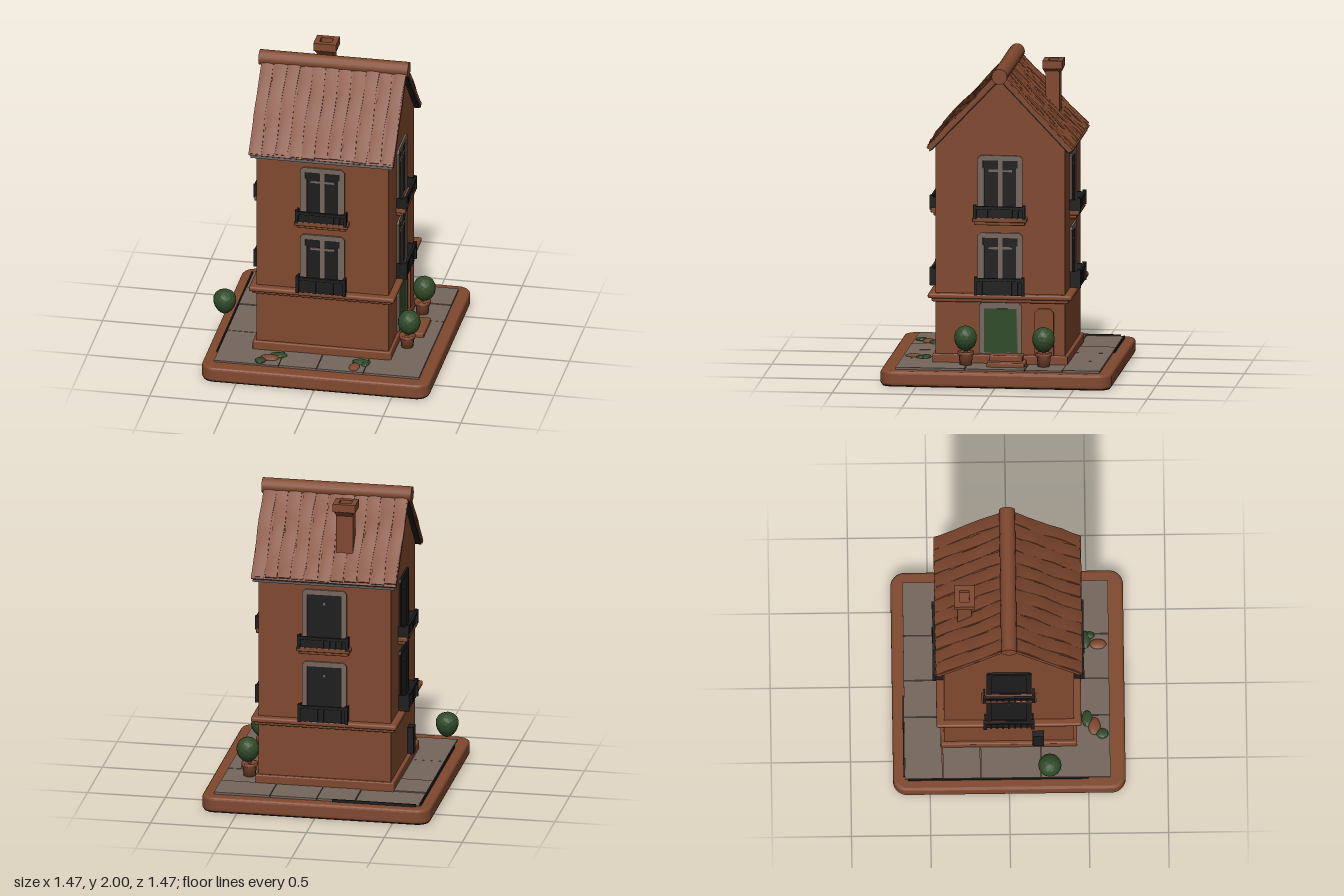
import * as THREE from 'three';
import { RoundedBoxGeometry } from 'three/addons/geometries/RoundedBoxGeometry.js';

const mat = (name, color, extra = {}) => {
  const m = new THREE.MeshStandardMaterial({ color, ...extra });
  m.name = name;
  return m;
};

export function createModel() {
  const root = new THREE.Group();
  root.name = 'townhouse';
  const brown = mat('terracotta', 0x80482e);
  const stone = mat('greyStone', 0x74665c);
  const dark = mat('darkIron', 0x1d1d1d, { side: THREE.DoubleSide });
  const green = mat('doorGreen', 0x2d4a26);
  const leaf = mat('leafGreen', 0x2f4a28, { flatShading: true });

  let seed = 7;
  const rnd = () => (seed = (seed * 16807) % 2147483647) / 2147483647;
  const add = (parent, name, geo, material, x = 0, y = 0, z = 0) => {
    const m = new THREE.Mesh(geo, material);
    m.name = name;
    m.position.set(x, y, z);
    parent.add(m);
    return m;
  };
  // box given by its limits on each axis
  const slab = (parent, name, material, x0, x1, y0, y1, z0, z1, r = 0) => add(parent, name,
    r ? new RoundedBoxGeometry(x1 - x0, y1 - y0, z1 - z0, 2, r) : new THREE.BoxGeometry(x1 - x0, y1 - y0, z1 - z0),
    material, (x0 + x1) / 2, (y0 + y1) / 2, (z0 + z1) / 2);
  const poly = pts => new THREE.Shape(pts.map(p => new THREE.Vector2(p[0], p[1])));
  // profile in (z, y), symmetric in z, extruded along x
  const alongX = (name, material, pts, x0, x1) => add(root, name,
    new THREE.ExtrudeGeometry(poly(pts), { depth: x1 - x0, bevelEnabled: false }).rotateY(Math.PI / 2), material, x0);

  // ---- base and paving
  const roundRect = (w, r) => {
    const s = new THREE.Shape();
    [[1, 1, 0], [-1, 1, 1], [-1, -1, 2], [1, -1, 3]].forEach(([sx, sy, q]) =>
      s.absarc(sx * (w - r), sy * (w - r), r, q * Math.PI / 2, (q + 1) * Math.PI / 2));
    return s;
  };
  const base = new THREE.ExtrudeGeometry(roundRect(0.715, 0.07),
    { depth: 0.06, bevelThickness: 0.018, bevelSize: 0.018, bevelSegments: 3, curveSegments: 6 });
  add(root, 'base', base.rotateX(-Math.PI / 2), brown, 0, 0.021, 0);
  add(root, 'baseUnderside', new THREE.ShapeGeometry(roundRect(0.722, 0.075), 6).rotateX(Math.PI / 2), dark);
  const xs = [-0.66, -0.245, 0, 0.3, 0.66], zs = [-0.66, -0.42, -0.18, 0.2, 0.64];
  for (let i = 0; i < 4; i++) for (let j = 0; j < 4; j++) {
    slab(root, 'pavingSlab', stone, xs[i] + 0.002, xs[i + 1] - 0.002, 0.09,
      0.108 + rnd() * 0.006, zs[j] + 0.002, zs[j + 1] - 0.002);
  }
  slab(root, 'pavingEdgeLeft', dark, -0.668, -0.659, 0.095, 0.118, -0.64, 0.5);
  slab(root, 'pavingEdgeBack', dark, -0.64, -0.1, 0.095, 0.116, -0.668, -0.659);

  // ---- walls, plinth and cornice
  alongX('walls', brown, [[-0.41, 0.1], [0.41, 0.1], [0.41, 1.495], [0, 1.925], [-0.41, 1.495]], -0.43, 0.42);
  slab(root, 'plinth', brown, -0.452, 0.437, 0.1, 0.165, -0.43, 0.43, 0.008);
  slab(root, 'corniceLower', brown, -0.455, 0.445, 0.5, 0.535, -0.435, 0.435, 0.01);
  slab(root, 'corniceUpper', brown, -0.472, 0.462, 0.522, 0.555, -0.457, 0.457, 0.012);

  // ---- roof: shell, dark soffit, uneven planks and ridge
  const chevron = (top, low, z) => {
    const k = 1.053;
    return [[-z, top - k * z], [-z + 0.025, low - k * (z - 0.025)], [0, low],
      [z - 0.025, low - k * (z - 0.025)], [z, top - k * z], [0, top]];
  };
  alongX('roofShell', brown, chevron(1.975, 1.935, 0.465), -0.472, 0.458);
  alongX('roofSoffit', dark, chevron(1.936, 1.922, 0.452), -0.462, 0.45);
  const angle = Math.atan(1.053);
  for (const side of [1, -1]) {
    const n = 11, step = 0.934 / n;
    for (let i = 0; i < n; i++) {
      const len = 0.655 + rnd() * 0.014, w = step * (0.86 + rnd() * 0.13);
      const g = new THREE.BoxGeometry(w, 0.022, len, 2, 1, 8);
      const p = g.attributes.position, phase = rnd() * 6;
      for (let v = 0; v < p.count; v++) { // wavy edges and slightly crowned tops
        const t = p.getZ(v);
        const x = p.getX(v), edge = Math.abs(x) > w * 0.4;
        p.setX(v, x + (edge ? 0.005 * Math.sin(t * 14 + phase) : 0));
        if (p.getY(v) > 0) p.setY(v, p.getY(v) + 0.004 * Math.sin(t * 19 + phase) - (edge ? 0.004 : 0));
      }
      g.computeVertexNormals();
      const holder = new THREE.Group();
      holder.name = 'roofPlank';
      holder.position.set(-0.475 + step * (i + 0.5), 1.973, 0);
      holder.rotation.y = side > 0 ? 0 : Math.PI;
      const plank = add(holder, 'plank', g, brown, 0, -Math.sin(angle) * len / 2, Math.cos(angle) * len / 2);
      plank.rotation.x = angle;
      root.add(holder);
    }
  }
  add(root, 'ridge', new THREE.CylinderGeometry(0.05, 0.05, 0.96, 14).rotateZ(Math.PI / 2), brown, -0.01, 1.95, 0);

  // ---- chimney with a hollow cap
  slab(root, 'chimneyShaft', brown, -0.17, -0.06, 1.56, 1.93, -0.322, -0.23, 0.006);
  const cap = poly([[-0.073, -0.063], [0.073, -0.063], [0.073, 0.063], [-0.073, 0.063]]);
  cap.holes.push(poly([[-0.04, -0.03], [-0.04, 0.03], [0.04, 0.03], [0.04, -0.03]]));
  add(root, 'chimneyCap', new THREE.ExtrudeGeometry(cap, { depth: 0.052, bevelEnabled: false }).rotateX(-Math.PI / 2),
    brown, -0.115, 1.918, -0.276);
  add(root, 'chimneyNeck', new THREE.CylinderGeometry(0.09, 0.07, 0.03, 4, 1, true).rotateY(Math.PI / 4),
    brown, -0.115, 1.905, -0.276);

  // ---- framed openings, built facing +z
  const frame = (g, w, y0, y1, t, material) => {
    const h = w / 2, c = 0.02;
    const s = poly([[-h, y0], [h, y0], [h, y1 - c], [h - c, y1], [-h + c, y1], [-h, y1 - c]]);
    s.holes.push(poly([[-h + t, y0 + 0.005], [-h + t, y1 - t], [h - t, y1 - t], [h - t, y0 + 0.005]]));
    add(g, 'frame', new THREE.ExtrudeGeometry(s, { depth: 0.014, bevelEnabled: false }), material, 0, 0, -0.002);
  };
  const railing = (g, w, y0, y1) => {
    const h = w / 2, d = 0.055, n = 8;
    slab(g, 'railPanel', dark, -h, h, y0, y1 - 0.022, d - 0.008, d);
    slab(g, 'railTop', dark, -h - 0.006, h + 0.006, y1 - 0.028, y1 - 0.008, d - 0.004, d + 0.012);
    for (const s of [-1, 1]) {
      slab(g, 'railSide', dark, s * h - 0.005, s * h + 0.005, y0, y1 - 0.012, 0, d);
      slab(g, 'railCorner', dark, s * h - 0.01, s * h + 0.01, y0, y1, d - 0.01, d + 0.014);
    }
    for (let i = 1; i < n; i++) {
      const x = -h + w * i / n;
      slab(g, 'railBar', dark, x - 0.005, x + 0.005, y0, y1 - 0.01, d, d + 0.007);
    }
  };
  const windowUnit = (g, y0, y1, frameMat, mullions) => {
    frame(g, 0.285, y0, y1, 0.032, frameMat);
    slab(g, 'pane', dark, -0.115, 0.115, y0, y1 - 0.03, -0.002, 0.004);
    if (!mullions) {
      slab(g, 'latch', stone, -0.008, 0.008, y1 - 0.1, y1 - 0.085, 0.003, 0.008);
      return;
    }
    slab(g, 'mullion', stone, -0.014, 0.014, y0, y1 - 0.03, 0.003, 0.01);
    slab(g, 'transom', stone, -0.075, 0.075, y1 - 0.105, y1 - 0.09, 0.003, 0.01);
    for (const s of [-1, 1]) slab(g, 'sash', stone, s * 0.108 - 0.007, s * 0.108 + 0.007, y0, y1 - 0.08, 0.003, 0.008);
  };
  const faces = [
    ['front', 0, -0.005, 0.41, stone, true, 1.41, 0.94],
    ['leftSide', Math.PI / 2, 0.42, 0, stone, true, 1.44, 0.945],
    ['back', Math.PI, -0.005, -0.41, stone, false, 1.42, 0.94],
    ['rightSide', -Math.PI / 2, -0.43, 0, dark, false, 1.42, 0.94],
  ];
  for (const [name, ry, x, z, fm, mull, topUp, topLow] of faces) {
    const g = new THREE.Group();
    g.name = name + 'Windows';
    g.position.set(x, 0, z);
    g.rotation.y = ry;
    windowUnit(g, 1.05, topUp, fm, mull);
    windowUnit(g, 0.56, topLow, fm, mull);
    slab(g, 'balconyFloor', brown, -0.172, 0.172, 1.02, 1.05, -0.01, 0.062, 0.006);
    slab(g, 'balconyCorbel', brown, -0.16, 0.16, 0.998, 1.025, -0.01, 0.045, 0.006);
    railing(g, 0.31, 1.04, 1.13);
    railing(g, 0.3, 0.553, 0.67);
    root.add(g);
  }

  // ---- door, arched side panel and steps
  const entry = new THREE.Group();
  entry.name = 'entrance';
  entry.position.set(0.42, 0, 0);
  entry.rotation.y = Math.PI / 2;
  frame(entry, 0.27, 0.17, 0.5, 0.03, stone);
  slab(entry, 'doorSurround', stone, -0.12, 0.12, 0.17, 0.48, -0.002, 0.004);
  slab(entry, 'door', green, -0.103, 0.112, 0.18, 0.46, 0.003, 0.012);
  const arch = poly([[-0.06, 0.165], [0.06, 0.165], [0.06, 0.44], [0.035, 0.465], [-0.035, 0.465], [-0.06, 0.44]]);
  add(entry, 'sidePanel', new THREE.ExtrudeGeometry(arch, { depth: 0.016, bevelEnabled: false }), brown, 0.28, 0, -0.002);
  root.add(entry);
  slab(root, 'upperStep', brown, 0.41, 0.51, 0.1, 0.175, -0.15, 0.06, 0.008);
  slab(root, 'lowerStep', brown, 0.41, 0.577, 0.1, 0.138, -0.17, 0.07, 0.008);
  slab(root, 'wallBox', dark, -0.468, -0.425, 0.16, 0.34, 0.15, 0.22);

  // ---- clipped bushes and pots
  const bush = (x, y, z, taper) => {
    const g = new THREE.IcosahedronGeometry(0.072, 2);
    const p = g.attributes.position;
    for (let i = 0; i < p.count; i++) {
      const k = 1 + taper * p.getY(i) / 0.072;
      p.setXYZ(i, p.getX(i) * k, p.getY(i) * 1.13, p.getZ(i) * k);
    }
    g.computeVertexNormals();
    add(root, 'bush', g, leaf, x, y, z);
  };
  bush(-0.665, 0.338, 0.255, 0.2);
  const pot = [[0, 0], [0.038, 0], [0.045, 0.065], [0.053, 0.067], [0.053, 0.088], [0.042, 0.088], [0, 0.08]]
    .map(p => new THREE.Vector2(...p));
  for (const z of [0.21, -0.285]) {
    bush(0.512, 0.281, z, 0.06);
    add(root, 'trunk', new THREE.CylinderGeometry(0.01, 0.012, 0.08, 6), brown, 0.5, 0.2, z);
    add(root, 'pot', new THREE.LatheGeometry(pot, 10), brown, 0.5, 0.108, z);
  }

  // ---- low ground plants: [x, z, half width, half depth, material]
  const plants = [
    [-0.27, 0.495, 0.055, 0.035, leaf], [-0.32, 0.54, 0.06, 0.04, brown], [-0.37, 0.59, 0.035, 0.04, leaf],
    [0.26, 0.49, 0.06, 0.035, leaf], [0.29, 0.52, 0.025, 0.03, leaf], [0.23, 0.57, 0.035, 0.055, brown],
  ];
  for (const [x, z, w, d, m] of plants) {
    add(root, 'groundPlant', new THREE.IcosahedronGeometry(1, 1).scale(w, 0.016, d), m, x, 0.113, z);
  }
  return root;
}
